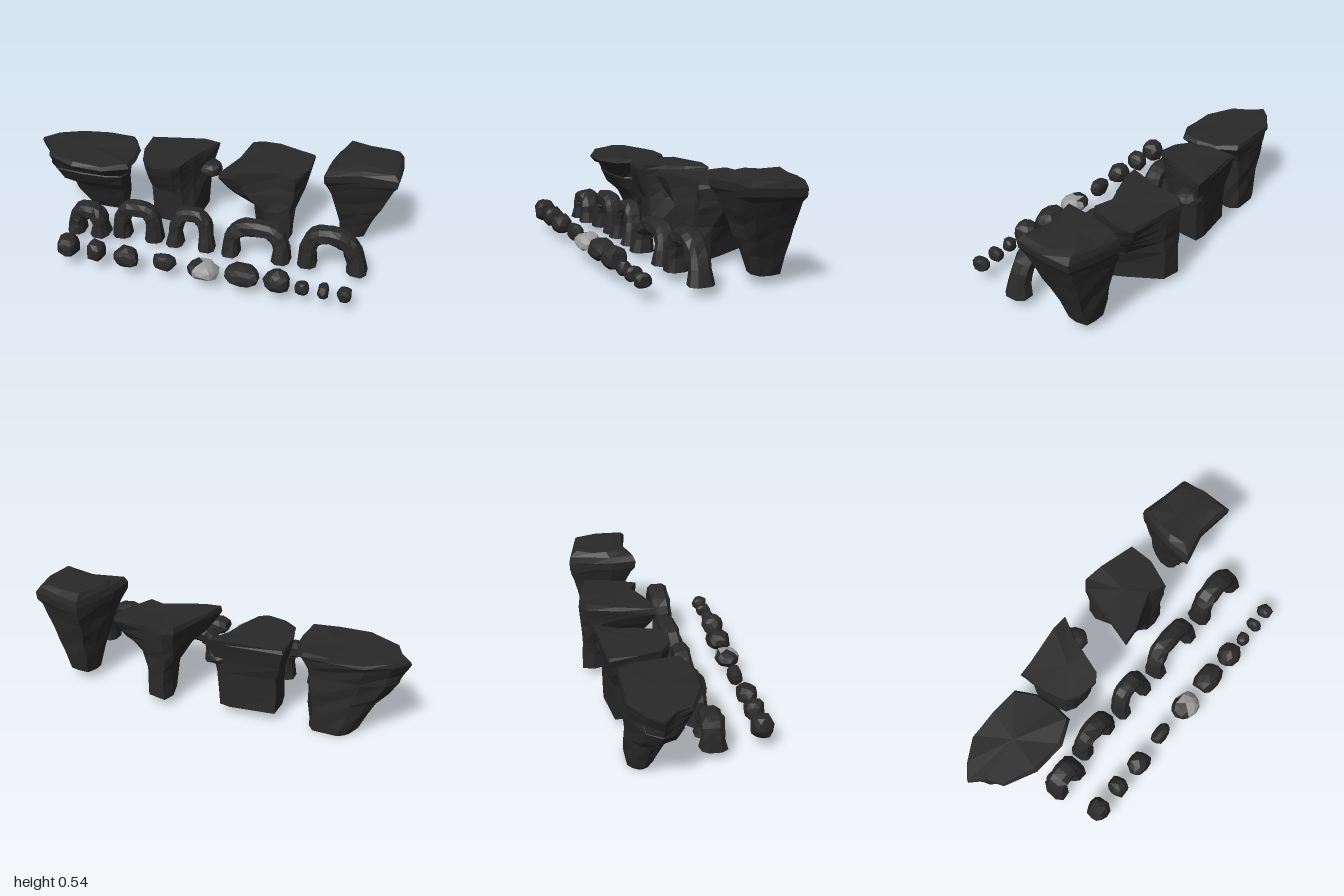
import * as THREE from 'three';

const darkStone = new THREE.MeshStandardMaterial({ color: 0x292929 });
darkStone.name = 'dark stone';
const paleStone = new THREE.MeshStandardMaterial({ color: 0x9a9a9a });
paleStone.name = 'pale stone';

// Repeatable roughness in -1..1 from a position
function rough(x, y, z) {
  const s = Math.sin(x * 127.1 + y * 311.7 + z * 74.7) * 43758.5453;
  return (s - Math.floor(s)) * 2 - 1;
}

// Signed power, used to square off round shapes
const squarer = (v, p) => Math.sign(v) * Math.pow(Math.abs(v), p);

// Faceted closed surface through rings of equal length
function loft(rings) {
  const pos = [];
  const tri = (...pts) => pts.forEach((p) => pos.push(p.x, p.y, p.z));
  const n = rings[0].length;
  for (let i = 0; i < rings.length - 1; i++) {
    for (let j = 0; j < n; j++) {
      const k = (j + 1) % n;
      const [a, b, c, d] = [rings[i][j], rings[i][k], rings[i + 1][k], rings[i + 1][j]];
      tri(a, b, c);
      tri(a, c, d);
    }
  }
  for (const [ring, flip] of [[rings[0], true], [rings[rings.length - 1], false]]) {
    const mid = new THREE.Vector3();
    ring.forEach((p) => mid.addScaledVector(p, 1 / n));
    for (let j = 0; j < n; j++) {
      const p = ring[j], q = ring[(j + 1) % n];
      if (flip) tri(mid, q, p); else tri(mid, p, q);
    }
  }
  const geo = new THREE.BufferGeometry();
  geo.setAttribute('position', new THREE.Float32BufferAttribute(pos, 3));
  geo.computeVertexNormals();
  return geo;
}

// Overhanging rock: plan outlines (x, z) of foot and crown, blended by [height, share of crown]
function mesa(foot, crown, levels, tilt = [0, 0]) {
  const cx = crown.reduce((s, p) => s + p[0], 0) / crown.length;
  const cz = crown.reduce((s, p) => s + p[1], 0) / crown.length;
  return loft(levels.map(([y, t], i) => crown.map(([x, z], j) => {
    const inner = i > 0 && t < 0.97 ? 0.007 : 0;
    const px = foot[j][0] + (x - foot[j][0]) * t, pz = foot[j][1] + (z - foot[j][1]) * t;
    const lean = t > 0.8 ? tilt[0] * (px - cx) + tilt[1] * (pz - cz) : 0;
    return new THREE.Vector3(px + inner * rough(i, j, cx), y + lean + inner * rough(j, cx, i),
      pz + inner * rough(cx, i, j));
  })));
}

// Natural arch standing on two flared feet; a lower curve makes it squarer
function arch({ x0, x1, base, top, z, bow, r, depth, curve, lean = 0 }) {
  const cx = (x0 + x1) / 2, w = (x1 - x0) / 2 - r, h = top - base - r;
  const at = (a) => new THREE.Vector3(
    cx - squarer(Math.cos(a), curve) * w + lean * Math.sin(a),
    base + Math.pow(Math.max(Math.sin(a), 0), curve) * h,
    z - bow * Math.sin(a));
  const rings = [], steps = 12, sides = 8;
  for (let i = 0; i <= steps; i++) {
    const a = (i / steps) * Math.PI;
    const c = at(a);
    const t = at(Math.min(a + 0.1, Math.PI)).sub(at(Math.max(a - 0.1, 0)));
    t.z = 0;
    t.normalize();
    if (i === 0 || i === steps) t.set(0, i ? -1 : 1, 0);
    const flare = i < 1 || i > steps - 1 ? 1.2 : 1;
    const ring = [];
    for (let j = 0; j < sides; j++) {
      const b = (j / sides) * Math.PI * 2 + 0.39;
      const k = flare * (1 + 0.1 * rough(i, j, x0));
      const u = squarer(Math.cos(b), 0.75) * r * k;
      ring.push(new THREE.Vector3(c.x - t.y * u, c.y + t.x * u,
        c.z + squarer(Math.sin(b), 0.75) * depth * k));
    }
    rings.push(ring);
  }
  return loft(rings);
}

// Lumpy, slightly boxy boulder of given width, height and depth
function boulder(w, h, d, seed) {
  const geo = new THREE.IcosahedronGeometry(1, 1);
  const p = geo.attributes.position;
  for (let i = 0; i < p.count; i++) {
    const v = new THREE.Vector3().fromBufferAttribute(p, i);
    const key = v.toArray().map((c) => Math.round(c * 50));
    const k = 0.97 + 0.1 * rough(key[0] + seed, key[1], key[2]);
    const [x, y, z] = v.toArray().map((c) => squarer(Math.abs(c) < 1e-6 ? 0 : c, 0.85) * k);
    p.setXYZ(i, x * w / 2, Math.max(y, -0.8) * h / 2, z * d / 2);
  }
  geo.computeVertexNormals();
  return geo;
}

export function createModel() {
  const model = new THREE.Group();
  model.name = 'rockSet';
  const add = (name, geo) => {
    const mesh = new THREE.Mesh(geo, darkStone);
    mesh.name = name;
    model.add(mesh);
    return mesh;
  };

  // Broad rock: a bulging body on a narrow root, under a thin brim
  const shoulder = [[-0.48, -0.12], [-0.49, -0.22], [-0.53, -0.31], [-0.64, -0.32], [-0.79, -0.31],
    [-0.9, -0.26], [-0.95, -0.19], [-0.93, -0.13], [-0.88, -0.08], [-0.74, -0.06], [-0.58, -0.06],
    [-0.5, -0.08]];
  add('broadMesaBody', mesa(
    [[-0.53, -0.24], [-0.53, -0.28], [-0.56, -0.32], [-0.63, -0.32], [-0.69, -0.32], [-0.72, -0.3],
      [-0.74, -0.27], [-0.74, -0.25], [-0.73, -0.23], [-0.68, -0.22], [-0.6, -0.22], [-0.54, -0.22]],
    shoulder,
    [[0, 0], [0.04, 0.15], [0.12, 0.35], [0.18, 0.5], [0.23, 0.78], [0.3, 1], [0.34, 0.8]]));
  add('broadMesaBrim', mesa(shoulder,
    [[-0.42, -0.11], [-0.43, -0.22], [-0.49, -0.33], [-0.64, -0.335], [-0.81, -0.33], [-0.93, -0.26],
      [-1, -0.19], [-0.93, -0.13], [-0.9, -0.04], [-0.74, 0.04], [-0.56, 0.05], [-0.43, -0.01]],
    [[0.3, -0.1], [0.345, 0.2], [0.38, 0.75], [0.405, 1], [0.425, 0.8]]));

  // Blocky rock with a side ledge
  add('blockyMesa', mesa(
    [[-0.08, -0.25], [-0.07, -0.35], [-0.13, -0.36], [-0.36, -0.33], [-0.36, -0.22],
      [-0.34, -0.14], [-0.29, -0.11], [-0.21, -0.1], [-0.16, -0.11], [-0.11, -0.15]],
    [[-0.08, -0.27], [-0.02, -0.385], [-0.1, -0.385], [-0.41, -0.36], [-0.4, -0.21],
      [-0.37, -0.09], [-0.31, -0.04], [-0.2, -0.03], [-0.16, -0.06], [-0.11, -0.18]],
    [[0.05, 0], [0.14, 0.04], [0.24, 0.14], [0.31, 0.45], [0.37, 0.83], [0.41, 1], [0.43, 0.94]]));
  add('sideLedge', boulder(0.16, 0.09, 0.15, 5)).position.set(-0.065, 0.31, -0.3);

  // Wide cap on a slanted wall
  add('cappedMesa', mesa(
    [[0.44, -0.1], [0.45, -0.16], [0.41, -0.24], [0.31, -0.41], [0.21, -0.43],
      [0.19, -0.37], [0.22, -0.27], [0.27, -0.16], [0.32, -0.1], [0.38, -0.09]],
    [[0.46, -0.09], [0.52, -0.25], [0.52, -0.38], [0.32, -0.42], [0.21, -0.44],
      [0.16, -0.4], [0.12, -0.23], [0.06, -0.04], [0.15, -0.05], [0.36, -0.13]],
    [[0.045, 0], [0.13, 0.03], [0.21, 0.13], [0.265, 0.4], [0.31, 0.63], [0.36, 0.82], [0.415, 1],
      [0.44, 0.95]], [-0.02, -0.03]));

  // Tall rock with a domed crown, tapering to its foot
  add('tallMesa', mesa(
    [[0.83, -0.23], [0.84, -0.28], [0.83, -0.34], [0.78, -0.35], [0.72, -0.35],
      [0.7, -0.3], [0.7, -0.25], [0.72, -0.22], [0.78, -0.21]],
    [[0.99, -0.08], [1, -0.24], [0.99, -0.38], [0.85, -0.41], [0.7, -0.44],
      [0.65, -0.31], [0.62, -0.2], [0.61, -0.065], [0.8, -0.11]],
    [[0.05, 0], [0.15, 0.18], [0.22, 0.33], [0.29, 0.5], [0.36, 0.66], [0.42, 0.86], [0.45, 0.97],
      [0.49, 1], [0.522, 0.87], [0.537, 0.5]], [0.05, 0.07]));

  // Row of arches
  [
    { x0: -0.74, x1: -0.52, base: 0.05, top: 0.225, z: 0.1, bow: 0, r: 0.043, depth: 0.058, curve: 0.6 },
    { x0: -0.49, x1: -0.22, base: 0.045, top: 0.265, z: 0.075, bow: 0, r: 0.043, depth: 0.05, curve: 0.55 },
    { x0: -0.18, x1: 0.07, base: 0.05, top: 0.275, z: 0.09, bow: 0.02, r: 0.038, depth: 0.046, curve: 0.7 },
    { x0: 0.12, x1: 0.48, base: 0.045, top: 0.25, z: 0.09, bow: 0.025, r: 0.043, depth: 0.05, curve: 0.6 },
    { x0: 0.53, x1: 0.88, base: 0.05, top: 0.288, z: 0.085, bow: 0.005, r: 0.046, depth: 0.055,
      curve: 0.75, lean: -0.02 },
  ].forEach((a, i) => add('arch' + (i + 1), arch(a)));

  // Row of boulders: x, z, width, height, depth
  [
    [-0.65, 0.355, 0.12, 0.13, 0.12], [-0.495, 0.355, 0.1, 0.12, 0.115],
    [-0.325, 0.36, 0.14, 0.11, 0.11], [-0.125, 0.35, 0.13, 0.1, 0.08],
    [0.085, 0.355, 0.17, 0.095, 0.14], [0.29, 0.355, 0.19, 0.11, 0.135],
    [0.47, 0.365, 0.14, 0.125, 0.125], [0.6, 0.365, 0.075, 0.08, 0.07],
    [0.705, 0.36, 0.06, 0.08, 0.09], [0.81, 0.36, 0.075, 0.08, 0.09],
  ].forEach(([x, z, w, h, d], i) => {
    const geo = boulder(w, h, d, i * 3.7);
    const mesh = add('boulder' + (i + 1), geo);
    mesh.position.set(x, 0.066 + h * 0.4, z);
    if (i !== 4) return;
    // The middle boulder is pale on its front left side
    const p = geo.attributes.position;
    for (let f = 0; f < p.count; f += 3) {
      const [mx, my, mz] = ['getX', 'getY', 'getZ'].map((g) => (p[g](f) + p[g](f + 1) + p[g](f + 2)) / 3);
      geo.addGroup(f, 3, mx + 0.4 * mz > -0.015 && my > -0.034 ? 1 : 0);
    }
    mesh.material = [darkStone, paleStone];
  });

  return model;
}
